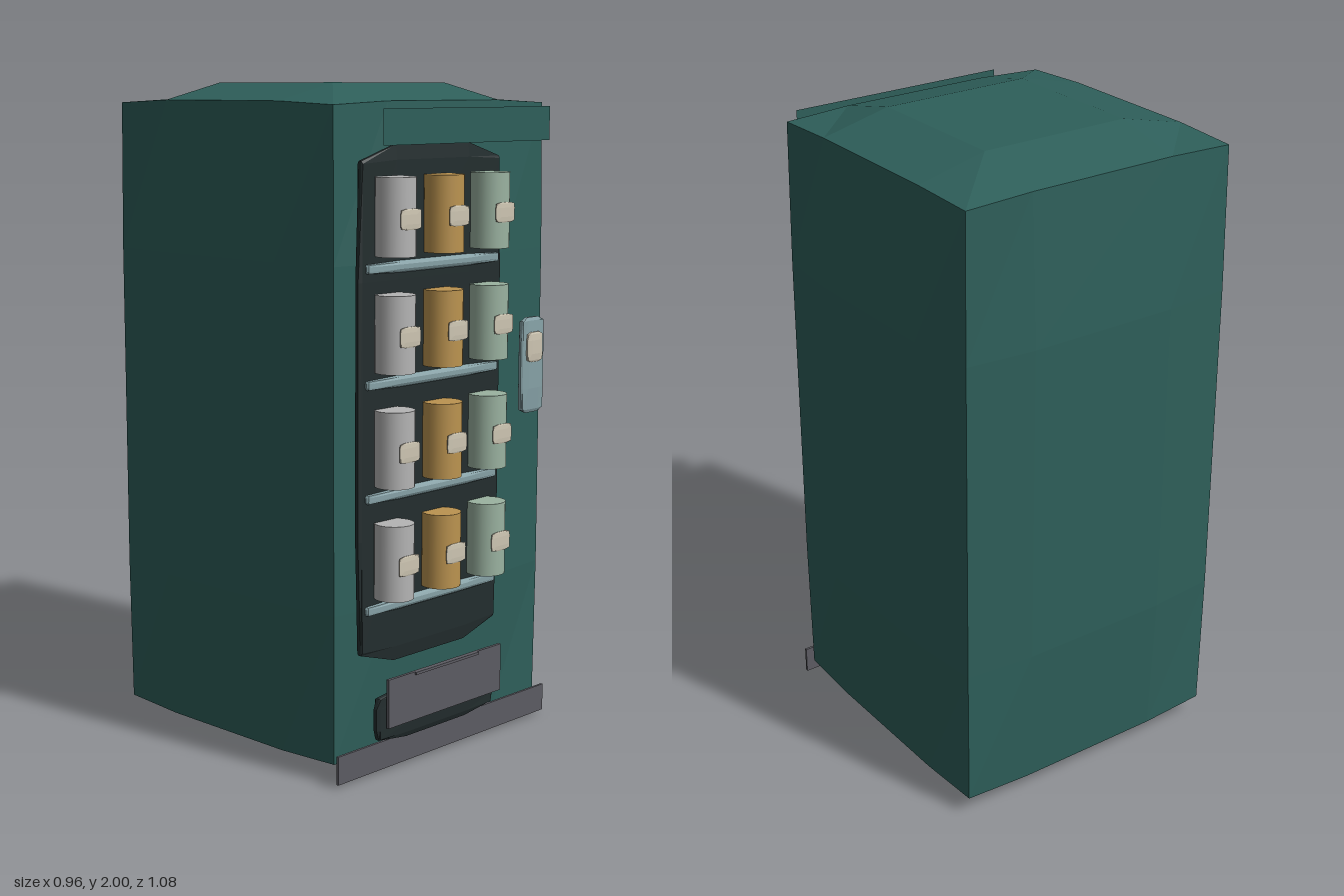
import * as THREE from 'three';

const paint = (name, color) => {
  const m = new THREE.MeshStandardMaterial({ color });
  m.name = name;
  m.flatShading = true;
  return m;
};

// Box whose faces swell outwards: half = overall half sizes, bulge = swelling per axis
function bulgedBox(half, bulge) {
  const geo = new THREE.BoxGeometry(2, 2, 2, 3, 3, 3);
  const pos = geo.attributes.position;
  for (let i = 0; i < pos.count; i++) {
    const p = [pos.getX(i), pos.getY(i), pos.getZ(i)];
    const inner = p.map((v) => Math.abs(v) < 0.9);
    const count = inner.filter(Boolean).length;
    const swell = count === 2 ? 1 : count === 1 ? 0.15 : 0;
    const q = p.map((v, a) => {
      const core = half[a] - bulge[a];
      return Math.sign(v) * (inner[a] ? core * 0.53 : core + bulge[a] * swell);
    });
    pos.setXYZ(i, ...q);
  }
  geo.computeVertexNormals();
  return geo;
}

export function createModel() {
  const model = new THREE.Group();
  model.name = 'vendingMachine';

  const green = paint('cabinet green', 0x2e5f5a);
  green.side = THREE.DoubleSide;
  const black = paint('window black', 0x232d2e);
  const steel = paint('shelf blue grey', 0x86a1a6);
  const grey = paint('dark grey', 0x5c5b62);
  const cream = paint('label cream', 0xcdc5b2);
  const canPaints = [
    paint('can silver', 0xb5b5b5),
    paint('can gold', 0xbc9450),
    paint('can mint', 0x9bb3a1),
  ];
  canPaints.forEach((m) => { m.flatShading = false; });

  const add = (name, geo, mat, x, y, z) => {
    const mesh = new THREE.Mesh(geo, mat);
    mesh.name = name;
    mesh.position.set(x, y, z);
    model.add(mesh);
    return mesh;
  };

  // Cabinet and header panel
  add('cabinet', bulgedBox([0.478, 1, 0.4775], [0.025, 0.06, 0.025]), green, 0, 1, -0.0625);
  add('headerPanel', new THREE.PlaneGeometry(0.725, 0.1), green, -0.003, 1.88, 0.495);

  // Kick plate
  add('kickPlate', new THREE.BoxGeometry(0.936, 0.085, 0.008), grey, 0, 0.052, 0.418);

  // Display window
  add('window', bulgedBox([0.305, 0.745, 0.014], [0.014, 0.05, 0.004]), black, -0.1, 1.085, 0.433);

  // Shelves, each with a row of cans and labels
  const shelfGeo = bulgedBox([0.282, 0.017, 0.016], [0.005, 0.005, 0.004]);
  const canGeo = new THREE.CylinderGeometry(0.058, 0.058, 0.22, 24);
  const labelGeo = bulgedBox([0.042, 0.029, 0.003], [0.003, 0.004, 0.001]);
  for (let row = 0; row < 4; row++) {
    const y = 0.512 + row * 0.326;
    add('shelf', shelfGeo, steel, -0.1, y, 0.442);
    canPaints.forEach((mat, col) => {
      const x = -0.3 + col * 0.202;
      add('can', canGeo, mat, x, y + 0.144, 0.481);
      add('canLabel', labelGeo, cream, x, y + 0.139, 0.539);
    });
  }

  // Delivery tray with flap and lip
  add('tray', bulgedBox([0.258, 0.078, 0.014], [0.012, 0.018, 0.003]), black, -0.098, 0.187, 0.461);
  add('trayFlap', new THREE.BoxGeometry(0.5, 0.146, 0.01), grey, -0.08, 0.235, 0.486);
  add('flapLip', new THREE.BoxGeometry(0.28, 0.008, 0.012), grey, -0.08, 0.304, 0.492);

  // Coin panel
  add('coinPanel', bulgedBox([0.054, 0.147, 0.012], [0.006, 0.012, 0.004]), steel, 0.343, 1.149, 0.452);
  add('coinPlate', bulgedBox([0.037, 0.046, 0.006], [0.004, 0.007, 0.002]), cream, 0.343, 1.205, 0.465);

  return model;
}
